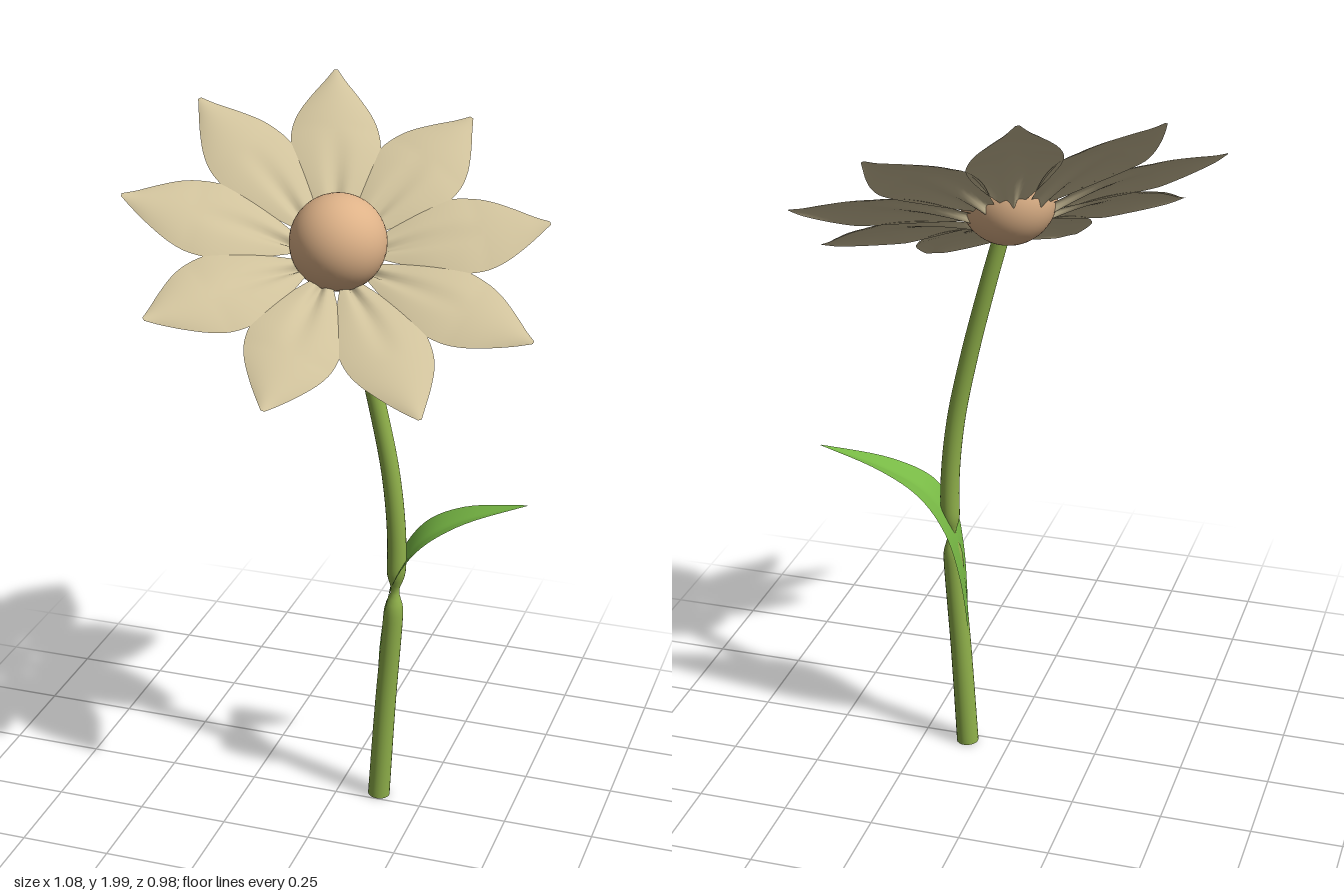
import * as THREE from 'three';

const V = (x, y, z) => new THREE.Vector3(x, y, z);
const curve = (pts) => new THREE.CatmullRomCurve3(pts.map((p) => V(...p)));

// Grid surface from a rule point(t, u), with t in 0..1 and u in -1..1
function sheet(rows, cols, point) {
  const pos = [], idx = [];
  for (let i = 0; i <= rows; i++) {
    for (let j = 0; j <= cols; j++) {
      pos.push(...point(i / rows, (j / cols) * 2 - 1).toArray());
      if (i < rows && j < cols) {
        const a = i * (cols + 1) + j, b = a + cols + 1;
        idx.push(a, a + 1, b, a + 1, b + 1, b);
      }
    }
  }
  const g = new THREE.BufferGeometry();
  g.setAttribute('position', new THREE.Float32BufferAttribute(pos, 3));
  g.setIndex(idx);
  g.computeVertexNormals();
  return g;
}

function mat(name, color, side = THREE.FrontSide) {
  const m = new THREE.MeshStandardMaterial({ color, side });
  m.name = name;
  return m;
}

export function createModel() {
  const model = new THREE.Group();
  const add = (parent, name, geometry, material) => {
    const m = new THREE.Mesh(geometry, material);
    m.name = name;
    parent.add(m);
    return m;
  };
  const petalMat = mat('petal beige', 0xcfc19b, THREE.DoubleSide);
  const centreMat = mat('centre tan', 0xdeb288);
  const stemMat = mat('stem green', 0x8fb04a);
  const leafMat = mat('leaf green', 0x78b945, THREE.DoubleSide);

  // Flower head, tilted forward and to its left
  const head = new THREE.Group();
  head.name = 'flowerHead';
  const n = V(0.36, 1, 0.61).normalize();
  const ax = V(0.53, -0.21, 0.03).projectOnPlane(n).normalize();
  head.quaternion.setFromRotationMatrix(new THREE.Matrix4().makeBasis(ax, n, ax.clone().cross(n)));
  head.position.set(0.003, 1.656, -0.01);
  model.add(head);
  add(head, 'flowerCentre', new THREE.SphereGeometry(0.128, 40, 28), centreMat);

  // Petal outline: distance from centre, height, half width
  const outline = curve([
    [0.09, -0.072, 0.02], [0.15, -0.05, 0.053], [0.24, -0.022, 0.098], [0.32, -0.004, 0.12],
    [0.38, 0.005, 0.117], [0.43, 0.009, 0.1], [0.49, 0.01, 0.064], [0.54, 0.009, 0.028],
    [0.572, 0.01, 0.005],
  ]);
  const petalGeo = sheet(30, 20, (t, u) => {
    const p = outline.getPoint(t);
    // narrow crease at the root, domed further out
    const crease = 0.022 * Math.max(0, 1 - t * 2) * (1 - Math.exp(-((u / 0.25) ** 2)));
    const dome = -0.02 * Math.sin(Math.PI * t) * u * u;
    return V(p.x, p.y + crease + dome, u * p.z);
  });
  for (let k = 0; k < 9; k++) {
    add(head, 'petal' + (k + 1), petalGeo, petalMat).rotation.y = (k * Math.PI * 2) / 9;
  }

  // Stem: round sections along a curve, pinched where the leaf wraps it
  const path = curve([
    [0.12, 0, -0.03], [0.137, 0.3, -0.03], [0.158, 0.6, -0.03], [0.165, 0.8, -0.03],
    [0.147, 1.0, -0.03], [0.107, 1.2, -0.03], [0.052, 1.42, -0.03], [0.012, 1.57, -0.025],
  ]);
  add(model, 'stem', sheet(100, 20, (t, u) => {
    const p = path.getPoint(t), d = path.getTangent(t);
    const pinch = 1 - 0.58 * Math.exp(-(((p.y - 0.66) / 0.035) ** 2));
    const r = (0.031 - 0.006 * p.y) * pinch, a = u * Math.PI;
    const side = V(d.y, -d.x, 0).normalize();
    return p.addScaledVector(side, r * Math.cos(a)).add(V(0, 0, -r * Math.sin(a)));
  }), stemMat);
  const foot = add(model, 'stemFoot', new THREE.CircleGeometry(0.031, 20), stemMat);
  foot.rotation.x = Math.PI / 2;
  foot.position.set(0.12, 0.001, -0.03);

  // Leaf: rises beside the stem, crosses it and arches outwards
  const rib = curve([
    [0.115, 0.36, -0.03], [0.117, 0.47, -0.034], [0.133, 0.6, -0.04], [0.165, 0.71, -0.048],
    [0.23, 0.805, -0.066], [0.33, 0.868, -0.09], [0.505, 0.928, -0.118],
  ]);
  const halfWidth = curve([
    [0, 0.006, 0], [0, 0.045, 0], [0, 0.079, 0], [0, 0.096, 0],
    [0, 0.085, 0], [0, 0.056, 0], [0, 0.002, 0],
  ]);
  add(model, 'leaf', sheet(36, 12, (t, u) => {
    const p = rib.getPoint(t), d = rib.getTangent(t), w = halfWidth.getPoint(t).y;
    const up = V(-d.y, d.x, 0).normalize();
    // clasps the stem below, folds into a shallow trough above
    const fold = -0.15 + 0.45 * t, twist = 0.25 - 0.15 * t;
    return p.addScaledVector(up, w * (fold * Math.abs(u) - twist * u)).add(V(0, 0, w * u));
  }), leafMat);

  return model;
}
